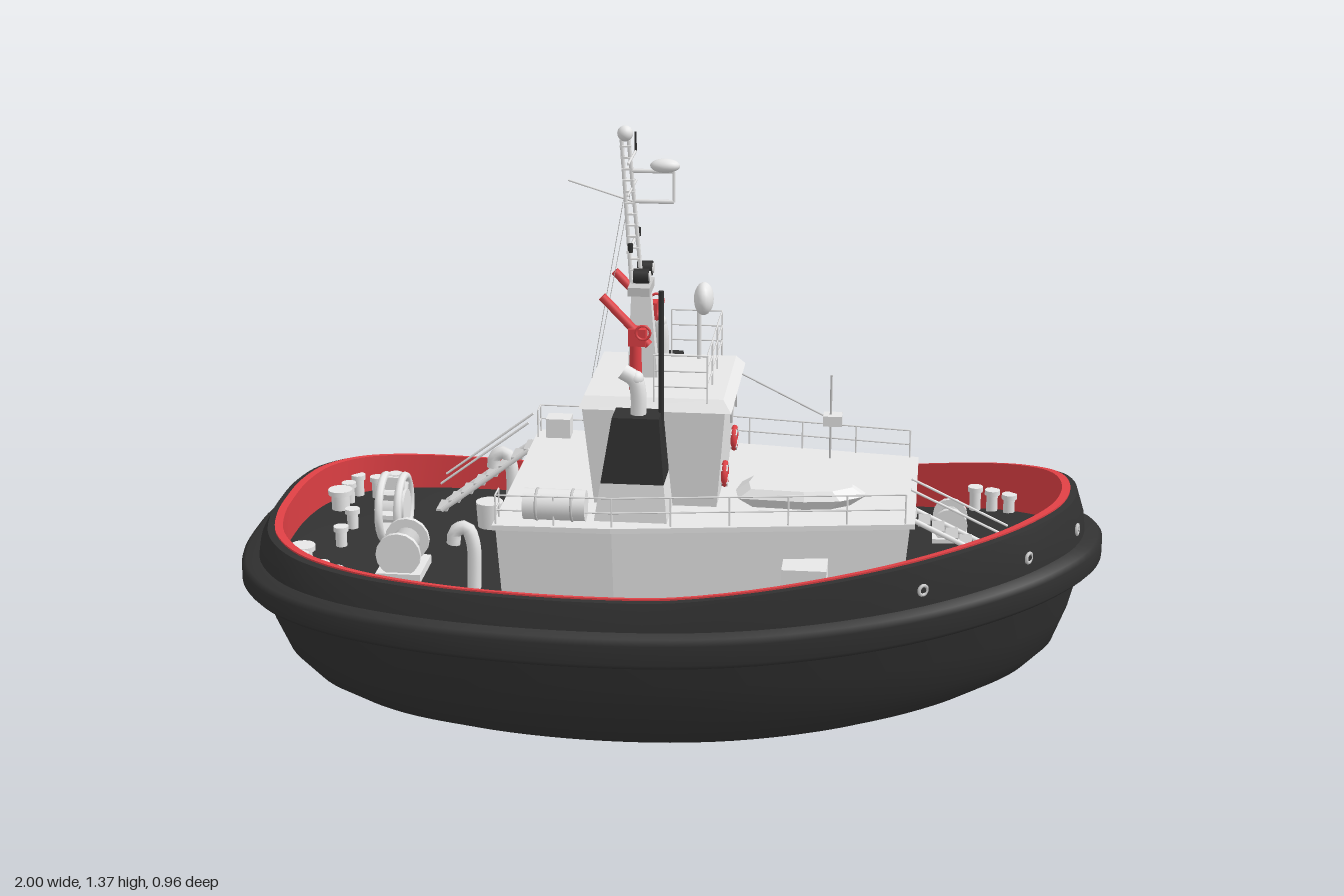
import * as THREE from 'three';

const mat = (name, color) => {
  const m = new THREE.MeshStandardMaterial({ color });
  m.name = name;
  return m;
};

export function createModel() {
  const model = new THREE.Group();
  model.name = 'tugboat';
  const black = mat('hullBlack', 0x313131), deckGrey = mat('deckCharcoal', 0x323232);
  const white = mat('paintWhite', 0xf0f0f0), grey = mat('fittingGrey', 0xc8c8c8);
  const red = mat('signalRed', 0xe04045);
  const V = (x, y, z) => new THREE.Vector3(x, y, z);

  const add = (name, geo, m, x = 0, y = 0, z = 0, rx = 0, ry = 0, rz = 0) => {
    const o = new THREE.Mesh(geo, m);
    o.name = name;
    o.position.set(x, y, z);
    o.rotation.set(rx, ry, rz);
    model.add(o);
    return o;
  };
  const box = (name, m, w, h, d, ...at) => add(name, new THREE.BoxGeometry(w, h, d), m, ...at);
  const cyl = (name, m, r0, r1, h, ...at) => add(name, new THREE.CylinderGeometry(r1, r0, h, 16), m, ...at);
  const ball = (name, m, r, ...at) => add(name, new THREE.SphereGeometry(r, 16, 12), m, ...at);
  const ring = (name, m, r, t, ...at) => add(name, new THREE.TorusGeometry(r, t, 8, 24), m, ...at);
  const rod = (name, m, a, b, r = 0.003, sides = 6) => {
    const d = b.clone().sub(a);
    const o = add(name, new THREE.CylinderGeometry(r, r, d.length(), sides), m);
    o.position.copy(a).add(b).multiplyScalar(0.5);
    o.quaternion.setFromUnitVectors(V(0, 1, 0), d.normalize());
  };
  const tube = (name, m, pts, r) =>
    add(name, new THREE.TubeGeometry(new THREE.CatmullRomCurve3(pts), 20, r, 10), m);

  // Skin closed rings; each ring runs from +x towards +z
  const loft = (name, m, rings, flat = false) => {
    const n = rings[0].length, idx = [];
    for (let i = 0; i < rings.length - 1; i++) for (let j = 0; j < n; j++) {
      const a = i * n + j, c = i * n + (j + 1) % n;
      idx.push(a, a + n, c, c, a + n, c + n);
    }
    let g = new THREE.BufferGeometry().setFromPoints(rings.flat());
    g.setIndex(idx);
    if (flat) g = g.toNonIndexed();
    g.computeVertexNormals();
    return add(name, g, m);
  };
  // Solid between two [x, z] polygons
  const prism = (name, m, lo, y0, hi, y1) => {
    const at = (p, y) => p.map(([x, z]) => V(x, y, z));
    const mid = r => r.map(() => r.reduce((s, p) => s.add(p), V(0, 0, 0)).divideScalar(r.length));
    const a = at(lo, y0), b = at(hi, y1);
    return loft(name, m, [mid(a), a, b, mid(b)], true);
  };
  const rect = (x0, x1, z0, z1) => [[x1, z0], [x1, z1], [x0, z1], [x0, z0]];

  // Plan outline at the rubbing rail
  const half = [[0.975, 0.12], [0.9, 0.213], [0.8, 0.284], [0.6, 0.368], [0.3, 0.434], [0, 0.467],
    [-0.3, 0.481], [-0.55, 0.474], [-0.75, 0.44], [-0.88, 0.375], [-0.96, 0.27], [-0.993, 0.14]];
  const plan = new THREE.CatmullRomCurve3([[1, 0], ...half, [-1, 0],
    ...half.slice().reverse().map(([x, z]) => [x, -z])].map(([x, z]) => V(x, 0, z)), true).getPoints(120).slice(0, -1);
  // One level of the hull: scale, height amidships, at stern and at bow, length scale, curve of the bow sheer
  const level = ([s, mid, stern, bow, sx = s, e = 1.9]) => plan.map(p =>
    V(p.x * sx, mid + (p.x < 0 ? (stern - mid) * (-p.x) ** 1.9 : (bow - mid) * p.x ** e), p.z * s));
  const shell = (name, m, ...levels) => loft(name, m, levels.map(level));

  // Hull, rail, bulwark and deck
  shell('hull', black, [0, 0, 0, 0], [0.25, 0, 0.008, 0.008], [0.4, 0.001, 0.022, 0.022], [0.54, 0.004, 0.042, 0.048],
    [0.66, 0.01, 0.064, 0.08], [0.73, 0.02, 0.079, 0.1], [0.79, 0.04, 0.096, 0.121],
    [0.85, 0.085, 0.127, 0.15], [0.9, 0.14, 0.18, 0.2], [0.93, 0.2, 0.25, 0.28], [0.96, 0.27, 0.34, 0.4]);
  shell('rubbingRail', black, [0.95, 0.25, 0.325, 0.385], [0.99, 0.255, 0.33, 0.39], [1, 0.265, 0.34, 0.4],
    [1, 0.31, 0.375, 0.44], [0.99, 0.325, 0.385, 0.45], [0.955, 0.335, 0.392, 0.458]);
  shell('bulwark', black, [0.96, 0.325, 0.385, 0.45], [0.945, 0.365, 0.42, 0.495, 0.955, 1.6], [0.925, 0.398, 0.452, 0.55, 0.938, 1.4]);
  const capEdge = [0.9, 0.4, 0.454, 0.552, 0.922, 1.4], capTop = [0.9, 0.404, 0.458, 0.556, 0.922, 1.4];
  const capInner = [0.883, 0.404, 0.458, 0.556, 0.903, 1.4];
  shell('bulwarkTop', black, [0.925, 0.398, 0.452, 0.55, 0.938, 1.4], capEdge);
  shell('redCapEdge', red, capEdge, capTop);
  shell('redCap', red, capTop, capInner);
  shell('bulwarkInside', red, capInner, [0.895, 0.32, 0.355, 0.43, 0.91]);
  shell('deck', deckGrey, [0.91, 0.325, 0.36, 0.435], [0.6, 0.335, 0.36, 0.42], [0, 0.34, 0.35, 0.4]);
  // Mooring ports around the bow
  const sheer = level([0.95, 0.36, 0.41, 0.49, 0.955, 1.6]);
  for (const x of [0.94, 0.82, 0.59]) for (const s of [1, -1]) {
    const p = sheer.filter(q => q.z * s > 0).reduce((a, b) => Math.abs(b.x - x) < Math.abs(a.x - x) ? b : a);
    ring('mooringPort', grey, 0.011, 0.004, p.x, p.y, p.z, 0, Math.atan2(p.x * 0.45, p.z), 0);
  }

  // Deckhouse with overhanging roof
  const house = [[0.56, -0.225], [0.56, 0.225], [-0.1, 0.325], [-0.36, 0.33], [-0.36, -0.33], [-0.28, -0.335]];
  prism('deckhouse', white, house.map(([x, z]) => [x * 0.97, z * 0.96]), 0.33, house, 0.52);
  const eave = house.map(([x, z]) => [x * 1.02, z * 1.02]);
  prism('deckhouseRoof', white, eave, 0.52, eave, 0.532);
  for (const s of [1, -1]) box('ventLocker', white, 0.1, 0.1, 0.08, 0.33, 0.4, 0.29 * s);
  // Guard rails following a path
  const railing = (name, path, y, h, bars = 2) => path.slice(1).forEach(([x, z], i) => {
    const a = V(path[i][0], y, path[i][1]), b = V(x, y, z);
    for (let k = 1; k <= bars; k++) {
      const up = V(0, h * k / bars, 0);
      rod(name, white, a.clone().add(up), b.clone().add(up), 0.002, 5);
    }
    const n = Math.max(1, Math.round(a.distanceTo(b) / 0.14));
    for (let k = 0; k <= n; k++) {
      const p = a.clone().lerp(b, k / n);
      rod(name + 'Post', white, p, p.clone().add(V(0, h, 0)), 0.0022, 5);
    }
  });
  for (const s of [1, -1]) railing('houseRail', [[0.55, 0.225 * s], [-0.1, 0.32 * s], [-0.36, 0.325 * s], [-0.36, 0.28 * s]], 0.53, 0.07);

  // Wheelhouse, roof and front details
  prism('wheelhouse', white, rect(-0.16, 0.12, -0.165, 0.165), 0.53, rect(-0.185, 0.14, -0.18, 0.18), 0.77);
  prism('wheelhouseRoof', white, rect(-0.19, 0.155, -0.195, 0.195), 0.765, rect(-0.18, 0.135, -0.17, 0.17), 0.79);
  railing('bridgeRail', [[-0.02, 0.185], [0.1, 0.185], [0.1, -0.185], [-0.02, -0.185]], 0.785, 0.11, 3);
  for (const s of [1, -1]) {
    box('windowWiper', grey, 0.005, 0.07, 0.005, 0.144, 0.735, 0.06 * s);
    ring('lifeRing', red, 0.024, 0.007, 0.136, 0.6, 0.127 * s, 0, Math.PI / 2);
    for (let k = 0; k < 4; k++) {
      const a = Math.PI * (k / 2 + 0.25);
      box('lifeRingBand', white, 0.015, 0.009, 0.015, 0.136, 0.6 + 0.024 * Math.sin(a), 0.127 * s + 0.024 * Math.cos(a), a);
    }
    // Funnels and exhausts
    const z = (a, b) => s > 0 ? [a, b] : [-b, -a];
    prism('funnelBase', white, rect(-0.145, 0.02, ...z(0.15, 0.285)), 0.53, rect(-0.13, 0.012, ...z(0.16, 0.278)), 0.62);
    prism('funnel', black, rect(-0.13, 0.012, ...z(0.16, 0.278)), 0.62, rect(-0.105, 0, ...z(0.18, 0.265)), 0.77);
    tube('exhaust', white, [V(-0.05, 0.75, 0.228 * s), V(-0.05, 0.82, 0.228 * s), V(-0.058, 0.85, 0.228 * s), V(-0.085, 0.868, 0.228 * s)], 0.018);
    ball('exhaustElbow', white, 0.018, -0.055, 0.852, 0.228 * s);
    // Fire monitors
    cyl('monitorColumn', red, 0.016, 0.012, 0.13, -0.07, 0.85, 0.11 * s);
    box('monitorHead', red, 0.04, 0.04, 0.035, -0.065, 0.915, 0.11 * s);
    rod('monitorBarrel', red, V(-0.04, 0.895, 0.11 * s), V(-0.145, 1.005, 0.11 * s), 0.01, 10);
    ring('monitorWheel', red, 0.016, 0.003, -0.05, 0.93, 0.135 * s);
  }

  // Mast with yards, lamps and radar
  prism('mastBase', white, rect(-0.1, -0.03, -0.022, 0.022), 0.78, rect(-0.09, -0.05, -0.014, 0.014), 1.02);
  box('lampPlatform', grey, 0.05, 0.02, 0.1, -0.07, 1.0, 0);
  for (const s of [1, -1]) {
    cyl('searchlight', black, 0.017, 0.017, 0.035, -0.065, 1.035, 0.036 * s, 0, 0, Math.PI / 2);
    cyl('searchlightLens', white, 0.012, 0.012, 0.004, -0.046, 1.035, 0.036 * s, 0, 0, Math.PI / 2);
    rod('mastLeg', white, V(-0.08 + 0.012 * s, 1.0, 0), V(-0.105 + 0.008 * s, 1.34, 0), 0.005);
    rod('stay', grey, V(-0.1, 1.22, 0.075 * s), V(-0.18, 0.79, 0.04 * s), 0.001, 4);
    cyl('yardLamp', black, 0.006, 0.006, 0.02, -0.085, 1.11, 0.075 * s);
  }
  for (let k = 0; k < 12; k++) box('mastRung', white, 0.025, 0.004, 0.014, -0.082 - k * 0.002, 1.04 + k * 0.026, 0);
  for (const [y, w, r] of [[1.1, 0.08, 0.004], [1.23, 0.08, 0.0025], [1.3, 0.07, 0.003]]) rod('yard', white, V(-0.09, y, -w), V(-0.09, y, w), r);
  rod('yardWhip', black, V(-0.09, 1.3, -0.068), V(-0.09, 1.345, -0.068));
  rod('signalGaff', white, V(-0.235, 1.245, 0), V(-0.09, 1.2, 0), 0.0025);
  ball('mastTopDome', white, 0.018, -0.105, 1.355, 0);
  for (const y of [1.2, 1.27]) rod('radarArm', white, V(-0.09, y, 0), V(0.005, y, 0), 0.005);
  rod('radarPost', white, V(0.005, 1.2, 0), V(0.005, 1.27, 0), 0.004);
  ball('radarDome', white, 0.02, -0.015, 1.283, 0).scale.set(1.7, 0.8, 1);
  rod('bridgePole', black, V(0, 0.53, 0.212), V(0, 1.05, 0.212), 0.006, 8);
  // Satellite dish on the bridge roof
  rod('dishPost', white, V(0.05, 0.78, -0.14), V(0.05, 0.93, -0.14), 0.006);
  ball('dish', white, 0.039, 0.06, 0.935, -0.145).scale.x = 0.6;

  // Roof gear: boat, raft canisters, light post and stay
  const boatPlan = [[0.455, 0.1], [0.455, 0.125], [0.4, 0.165], [0.32, 0.178], [0.17, 0.17], [0.16, 0.112], [0.17, 0.054], [0.32, 0.046], [0.4, 0.06]];
  const shrink = k => boatPlan.map(([x, z]) => [0.31 + (x - 0.31) * k, 0.112 + (z - 0.112) * k]);
  prism('workBoatHull', white, shrink(0.75), 0.53, shrink(1), 0.556);
  prism('workBoatCover', white, shrink(1), 0.556, shrink(0.8), 0.576);
  cyl('raftCanister', white, 0.035, 0.035, 0.14, -0.23, 0.572, 0.295, 0, 0, Math.PI / 2);
  for (const x of [-0.27, -0.19]) ring('canisterStrap', grey, 0.035, 0.003, x, 0.572, 0.295, 0, Math.PI / 2);
  box('roofLocker', white, 0.06, 0.05, 0.05, -0.31, 0.555, -0.3);
  rod('lightPost', grey, V(0.36, 0.53, -0.2), V(0.36, 0.74, -0.2));
  box('deckLight', white, 0.045, 0.025, 0.04, 0.365, 0.63, -0.2);
  rod('foreStay', grey, V(0.13, 0.78, -0.1), V(0.36, 0.63, -0.2), 0.002);

  // Stairs down to the aft and fore decks
  const stairs = (x0, y0, x1, y1, z) => {
    for (const s of [1, -1]) {
      rod('stairStringer', white, V(x0, y0, z + 0.036 * s), V(x1, y1, z + 0.036 * s), 0.006);
      rod('stairHandrail', white, V(x0, y0 + 0.07, z + 0.036 * s), V(x1, y1 + 0.07, z + 0.036 * s));
    }
    for (let k = 0; k < 8; k++) box('stairTread', grey, 0.028, 0.005, 0.07, x0 + (x1 - x0) * k / 7, y0 + (y1 - y0) * k / 7, z);
  };
  stairs(-0.37, 0.525, -0.59, 0.36, -0.235);
  stairs(0.56, 0.525, 0.78, 0.42, 0.14);

  // Towing reel and winches
  for (const x of [-0.685, -0.64]) ring('reelRim', white, 0.075, 0.01, x, 0.44, 0, 0, Math.PI / 2);
  cyl('reelDrum', white, 0.045, 0.045, 0.06, -0.662, 0.44, 0, 0, 0, Math.PI / 2);
  for (let k = 0; k < 4; k++) box('reelSpoke', white, 0.05, 0.15, 0.01, -0.662, 0.44, 0, k * Math.PI / 4);
  const winch = (x, y, z, r, w) => {
    box('winchBed', white, r * 2, 0.02, w + 0.03, x, y - r, z);
    cyl('winchDrum', grey, r * 0.6, r * 0.6, w, x, y, z, Math.PI / 2);
    for (const s of [1, -1]) cyl('winchFlange', white, r, r, 0.012, x, y, z + s * w / 2, Math.PI / 2);
  };
  winch(-0.6, 0.42, 0.205, 0.052, 0.1);
  winch(0.65, 0.46, 0, 0.04, 0.07);

  // Deck vents and bollards
  for (const s of [1, -1]) {
    tube('gooseneckVent', white, [V(-0.425, 0.34, 0.26 * s), V(-0.425, 0.46, 0.26 * s), V(-0.44, 0.495, 0.26 * s), V(-0.465, 0.485, 0.26 * s), V(-0.47, 0.455, 0.26 * s)], 0.016);
    for (const [x, z, r] of [[-0.84, 0.19, 0.03], [-0.82, 0.3, 0.018], [-0.77, 0.29, 0.018], [-0.73, 0.32, 0.018],
      [-0.78, 0.06, 0.018], [-0.83, 0.24, 0.018], [0.71, 0.24, 0.018], [0.75, 0.22, 0.018], [0.79, 0.195, 0.018]]) {
      const y = x > 0 ? 0.425 : 0.375;
      cyl('bollard', white, r * 0.75, r * 0.75, 0.05, x, y, z * s);
      cyl('bollardCap', white, r, r, 0.012, x, y + 0.028, z * s);
    }
  }
  cyl('capstan', white, 0.028, 0.033, 0.08, -0.455, 0.38, -0.115);
  return model;
}
